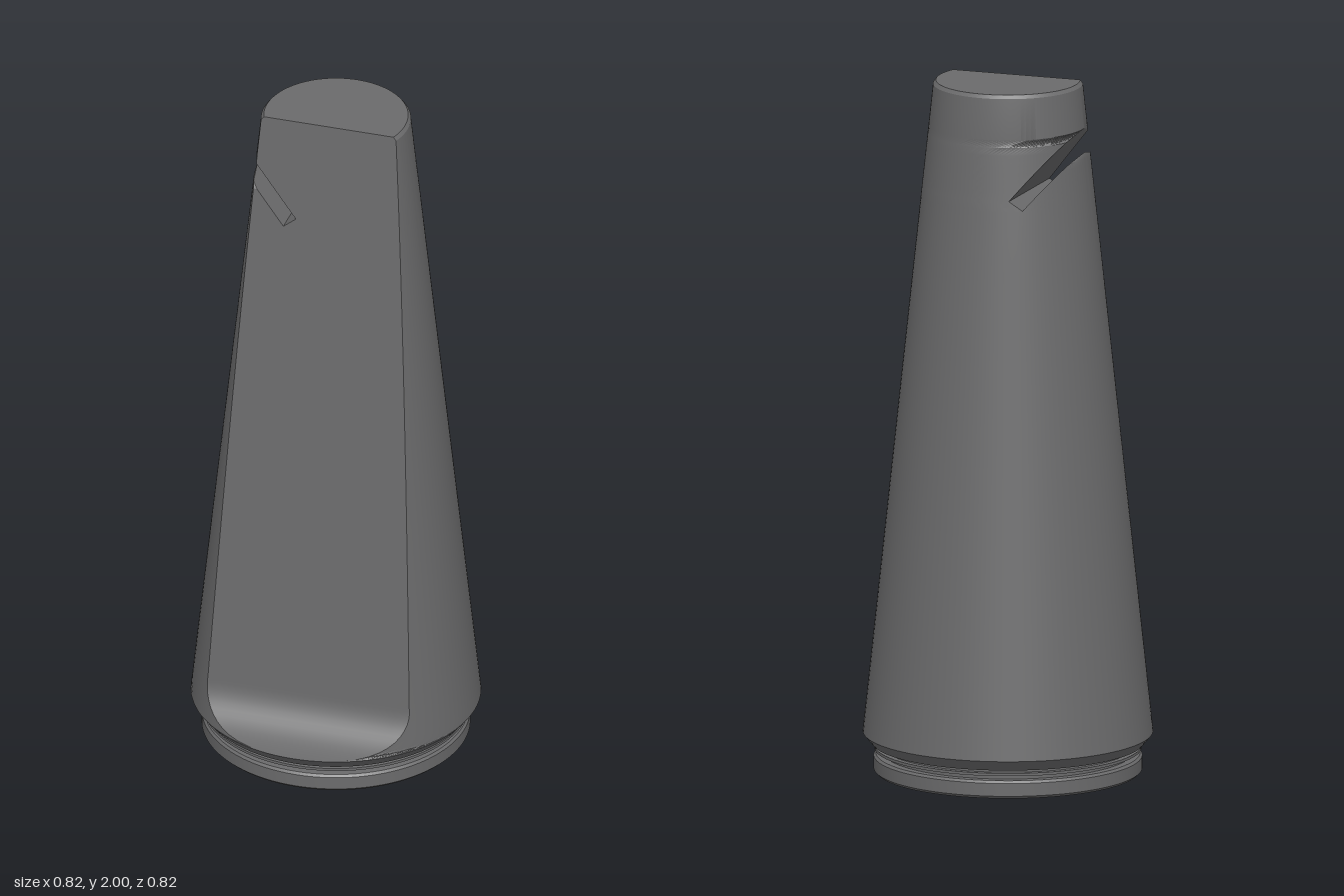
import * as THREE from 'three';
import { mergeGeometries, toCreasedNormals } from 'three/addons/utils/BufferGeometryUtils.js';

const lerp = THREE.MathUtils.lerp;
const FOOT = 0.115, FILLET = 0.25;

// Radius of the cone, with a tiny chamfer at the top rim
function radius(y) {
  const r = lerp(0.411, 0.211, (y - FOOT) / (2 - FOOT));
  return y > 1.99 ? r - (y - 1.99) * 0.7 : r;
}

// Depth of the flat front, which curves out into a concave fillet at the foot
function frontZ(y) {
  if (y >= FILLET) return lerp(0.262, 0.07, (y - FILLET) / (2 - FILLET));
  const k = (FILLET - y) / (FILLET - FOOT);
  return 0.262 + 0.149 * (1 - Math.sqrt(Math.max(0, 1 - k * k)));
}

// Closed cross-section at height y, limited to x between xl and xr
function section(y, xl, xr) {
  const R = radius(y), f = Math.min(frontZ(y), R);
  const angle = (x) => Math.asin(THREE.MathUtils.clamp(x / R, -1, 1));
  const a = angle(xl), b = angle(xr), c = Math.acos(f / R);
  const clamp = (t) => THREE.MathUtils.clamp(t, a, b);
  const stops = [a, clamp(-c), clamp(c), b];
  const pts = [];
  for (let s = 0; s < 3; s++) {
    for (let i = s ? 1 : 0; i <= 12; i++) {
      const t = lerp(stops[s], stops[s + 1], i / 12);
      pts.push([R * Math.sin(t), y, Math.min(R * Math.cos(t), f)]);
    }
  }
  for (let i = 0; i <= 48; i++) {
    const t = lerp(b, a, i / 48);
    pts.push([R * Math.sin(t), y, -R * Math.cos(t)]);
  }
  return pts;
}

// Skin of stacked cross-sections, optionally closed on top
function loft(ys, xl, xr, capped = false) {
  const rings = ys.map((y) => section(y, xl(y), xr(y)));
  const n = rings[0].length, pos = rings.flat(2), idx = [];
  for (let j = 0; j < rings.length - 1; j++) {
    for (let i = 0; i < n; i++) {
      const p = j * n + i, q = j * n + (i + 1) % n;
      idx.push(p, q, q + n, p, q + n, p + n);
    }
  }
  if (capped) {
    const base = (rings.length - 1) * n;
    pos.push(0, ys[ys.length - 1], -0.05);
    for (let i = 0; i < n; i++) idx.push(base + i, base + (i + 1) % n, base + n);
  }
  const g = new THREE.BufferGeometry();
  g.setAttribute('position', new THREE.Float32BufferAttribute(pos, 3));
  g.setIndex(idx);
  return g;
}

const steps = (a, b, n) => Array.from({ length: n + 1 }, (_, i) => lerp(a, b, i / n));

export function createModel() {
  const group = new THREE.Group();
  const grey = new THREE.MeshStandardMaterial({ color: 0x6b6b6c });
  grey.name = 'dark grey';

  const left = () => -1, right = () => 1;
  // Slanted slot: its end, upper edge and lower edge
  const slotRight = (y) => y < 1.7
    ? lerp(-0.123, -0.087, (y - 1.672) / 0.028)
    : lerp(-0.087, -0.226, (y - 1.7) / 0.173);
  const slotLower = (y) => lerp(-0.123, -0.232, (y - 1.672) / 0.136);

  const fillet = steps(0, Math.PI / 2, 12).map((t) => FILLET - (FILLET - FOOT) * Math.cos(t));
  const bodyParts = [
    loft([...fillet, ...steps(FILLET, 1.672, 8).slice(1)], left, right),
    loft([1.672, ...steps(1.7, 1.873, 8)], slotRight, right),
    loft(steps(1.672, 1.808, 8), left, slotLower),
    loft([1.873, 1.99, 2], left, right, true),
  ];
  const body = new THREE.Mesh(toCreasedNormals(mergeGeometries(bodyParts), 0.5), grey);
  body.name = 'taperedBody';
  group.add(body);

  // Chamfered underside, narrow grooves and foot disc
  const profile = [
    [0, 0], [0.372, 0], [0.38, 0.008], [0.38, 0.045], [0.374, 0.052], [0.352, 0.052],
    [0.352, 0.066], [0.378, 0.066], [0.378, 0.074], [0.362, 0.074], [0.362, 0.082],
    [0.385, 0.084], [0.411, FOOT], [0, FOOT],
  ].map(([r, y]) => new THREE.Vector2(r, y));
  const base = new THREE.Mesh(toCreasedNormals(new THREE.LatheGeometry(profile, 96), 0.4), grey);
  base.name = 'groovedBase';
  group.add(base);
  return group;
}
